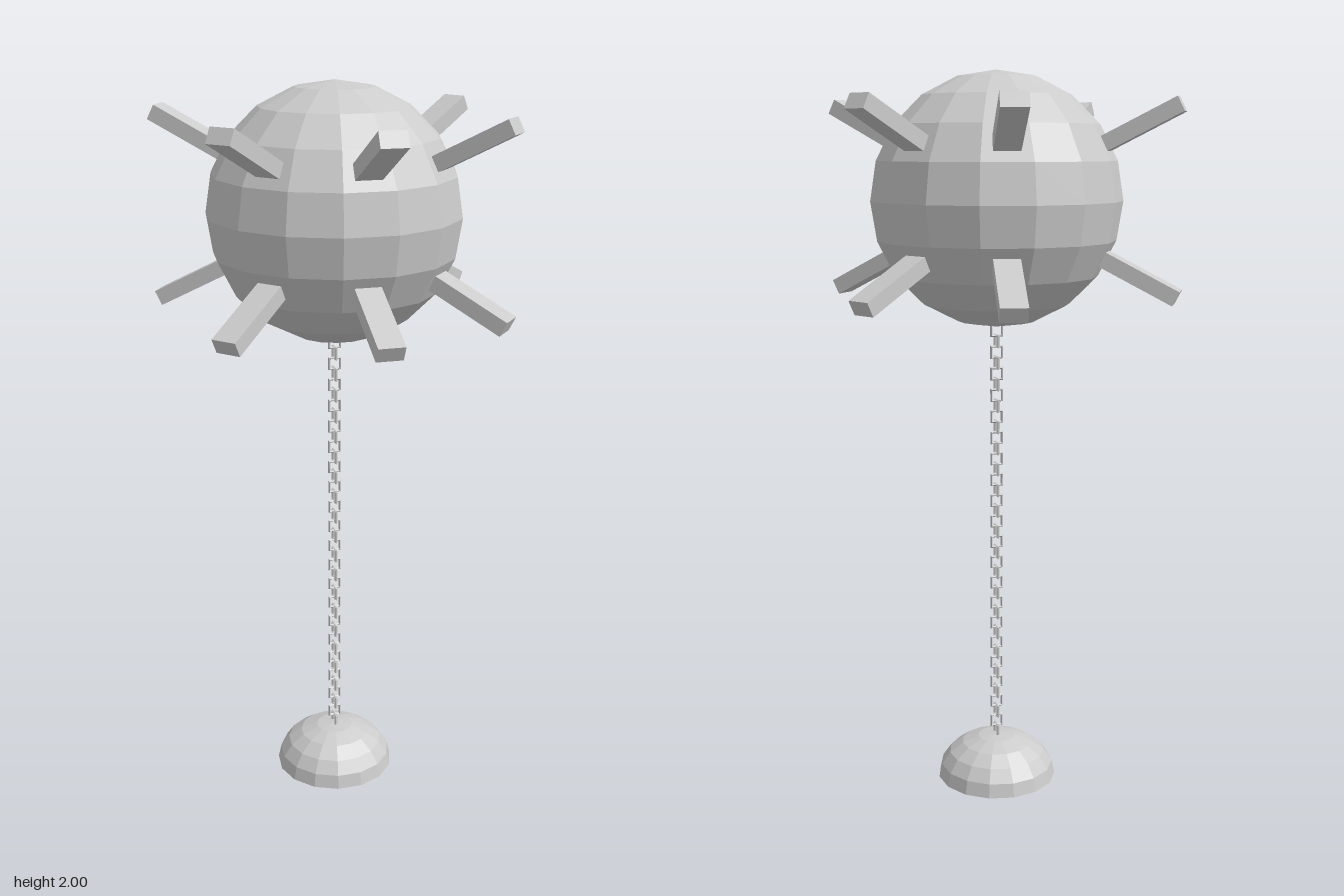
import * as THREE from 'three';

const BALL_Y = 1.66, BALL_R = 0.34, SIDES = 15;

export function createModel() {
  const model = new THREE.Group();
  model.name = 'spikedBallOnChain';
  const metal = new THREE.MeshStandardMaterial({ color: 0xcccccc, flatShading: true });

  const add = (geometry, name, parent = model) => {
    const mesh = new THREE.Mesh(geometry, metal);
    mesh.name = name;
    parent.add(mesh);
    return mesh;
  };

  // Faceted ball: a flat side faces the front, a vertex points to the back
  const ball = add(new THREE.SphereGeometry(BALL_R, SIDES, 10, -Math.PI / 2), 'ball');
  ball.position.y = BALL_Y;

  // Two rings of flat bar spikes growing out of facet centres
  const spikes = new THREE.Group();
  spikes.name = 'spikes';
  spikes.position.y = BALL_Y;
  model.add(spikes);
  const inner = 0.315, outer = 0.55;
  const spikeGeometry = new THREE.BoxGeometry(0.07, 0.042, outer - inner);
  spikeGeometry.translate(0, 0, (inner + outer) / 2);
  for (const side of [1, -1]) {
    for (const azimuth of [0, 48, 120, 168, 240, 312]) {
      const spike = add(spikeGeometry, side > 0 ? 'upperSpike' : 'lowerSpike', spikes);
      spike.rotation.order = 'YXZ';
      spike.rotation.y = THREE.MathUtils.degToRad(azimuth);
      spike.rotation.x = THREE.MathUtils.degToRad(-27 * side);
    }
  }

  // Chain of square links, each turned a quarter from the last
  const chain = new THREE.Group();
  chain.name = 'chain';
  model.add(chain);
  const linkGeometry = new THREE.TorusGeometry(0.0215, 0.0045, 4, 4);
  linkGeometry.rotateZ(Math.PI / 4);
  const links = 40;
  for (let i = 0; i < links; i++) {
    const link = add(linkGeometry, 'chainLink', chain);
    link.position.y = THREE.MathUtils.lerp(0.135, 1.31, i / (links - 1));
    link.rotation.y = i % 2 ? 0 : Math.PI / 2;
  }

  // Domed base with a hollow underneath
  const profile = [];
  const arc = (radius, height, steps, from, to) => {
    for (let i = 0; i <= steps; i++) {
      const a = THREE.MathUtils.lerp(from, to, i / steps);
      profile.push(new THREE.Vector2(Math.max(0, radius * Math.cos(a)), Math.max(0, height * Math.sin(a))));
    }
  };
  arc(0.08, 0.06, 4, Math.PI / 2, 0);
  arc(0.17, 0.125, 5, 0, Math.PI / 2);
  add(new THREE.LatheGeometry(profile, SIDES, Math.PI), 'base');

  return model;
}
